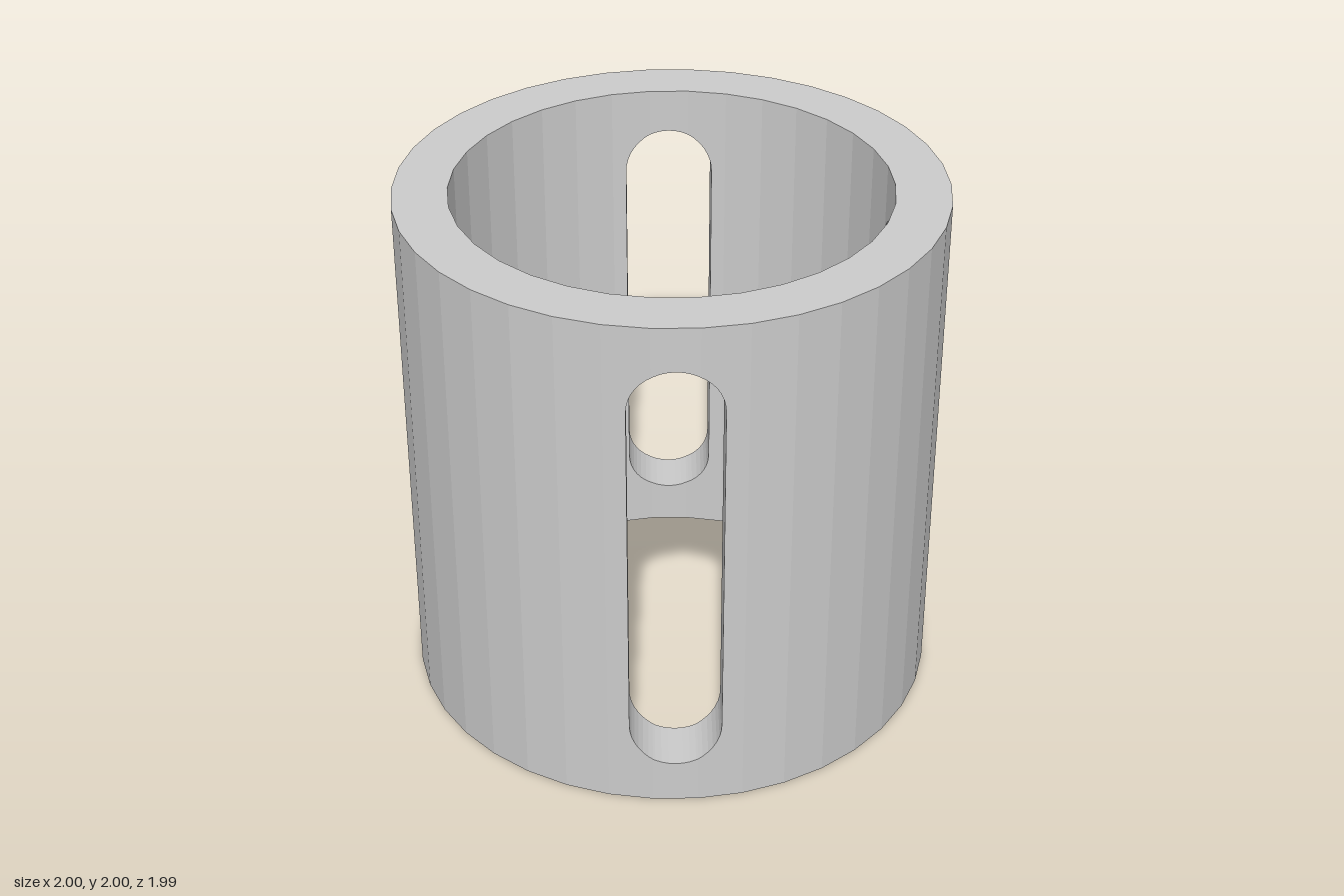
import * as THREE from 'three';

const HEIGHT = 2;
const SLOT_R = 1 / 6;      // half the slot width, also its end radius
const SLOT_Y = 1 / 3;      // height of the lower arc centre
const ARC_STEPS = 20;
const OUTER = { r: 1, n: 38 };
const INNER = { r: 0.8, n: 34 };

// Ring corners seen from one side: u runs to the right, d towards the viewer
function corners(ring, side) {
  const pts = [];
  for (let k = 0; k < ring.n; k++) {
    const a = Math.PI / 2 + (k * 2 * Math.PI) / ring.n - (side * Math.PI) / 2;
    pts.push({ u: ring.r * Math.sin(a), d: ring.r * Math.cos(a) });
  }
  return pts.filter((p) => p.d > 0).sort((a, b) => a.u - b.u);
}

// Distance of the faceted ring from the axis plane at offset u
function depth(ring, side, u) {
  const pts = corners(ring, side);
  const i = pts.findIndex((p) => p.u > u);
  const a = pts[i - 1], b = pts[i];
  return a.d + ((b.d - a.d) * (u - a.u)) / (b.u - a.u);
}

// Collects quads (corners counter-clockwise) given in the side's u, y, d
function quadList() {
  const pos = [];
  return {
    add(side, ...q) {
      const c = Math.cos((side * Math.PI) / 2), s = Math.sin((side * Math.PI) / 2);
      for (const i of [0, 1, 2, 0, 2, 3]) {
        const [u, y, d] = q[i];
        pos.push(u * c + d * s, y, d * c - u * s);
      }
    },
    geometry() {
      const g = new THREE.BufferGeometry();
      g.setAttribute('position', new THREE.Float32BufferAttribute(pos, 3));
      g.computeVertexNormals();
      return g;
    },
  };
}

// Offsets across a slot, including the ring corners that fall inside it
function slotOffsets(side) {
  const us = [];
  for (let i = 0; i <= ARC_STEPS; i++) us.push(-SLOT_R * Math.cos((i * Math.PI) / ARC_STEPS));
  for (const ring of [OUTER, INNER])
    for (const p of corners(ring, side))
      if (Math.abs(p.u) < SLOT_R && us.every((u) => Math.abs(u - p.u) > 1e-4)) us.push(p.u);
  return us.sort((a, b) => a - b);
}

const slotBottom = (u) => SLOT_Y - Math.sqrt(Math.max(0, SLOT_R * SLOT_R - u * u));

// Cylindrical wall pierced by four slots
function wall(ring, inward) {
  const quads = quadList();
  const strip = (side, a, b, a0, b0, a1, b1) => {
    const q = [[a.u, a0, a.d], [b.u, b0, b.d], [b.u, b1, b.d], [a.u, a1, a.d]];
    quads.add(side, ...(inward ? q.reverse() : q));
  };
  for (let side = 0; side < 4; side++) {
    const across = slotOffsets(side).map((u) => ({ u, d: depth(ring, side, u) }));
    for (let i = 1; i < across.length; i++) {
      const a = across[i - 1], b = across[i];
      const ya = slotBottom(a.u), yb = slotBottom(b.u);
      strip(side, a, b, 0, 0, ya, yb);
      strip(side, a, b, HEIGHT - ya, HEIGHT - yb, HEIGHT, HEIGHT);
    }
    // Solid part up to the next slot
    const between = [
      across[across.length - 1],
      ...corners(ring, side).filter((p) => p.u > SLOT_R && p.d > SLOT_R),
      { u: depth(ring, side + 1, -SLOT_R), d: SLOT_R },
    ];
    for (let i = 1; i < between.length; i++)
      strip(side, between[i - 1], between[i], 0, 0, HEIGHT, HEIGHT);
  }
  return quads.geometry();
}

// Inside faces of one slot: rounded ends and two straight cheeks
function slotLining(side) {
  const quads = quadList();
  const us = slotOffsets(side);
  const o = (u) => depth(OUTER, side, u), n = (u) => depth(INNER, side, u);
  for (let i = 1; i < us.length; i++) {
    const a = us[i - 1], b = us[i];
    const ya = slotBottom(a), yb = slotBottom(b);
    const ta = HEIGHT - ya, tb = HEIGHT - yb;
    quads.add(side, [a, ya, o(a)], [b, yb, o(b)], [b, yb, n(b)], [a, ya, n(a)]);
    quads.add(side, [a, ta, n(a)], [b, tb, n(b)], [b, tb, o(b)], [a, ta, o(a)]);
  }
  const y0 = SLOT_Y, y1 = HEIGHT - SLOT_Y, r = SLOT_R;
  quads.add(side, [-r, y0, o(-r)], [-r, y0, n(-r)], [-r, y1, n(-r)], [-r, y1, o(-r)]);
  quads.add(side, [r, y0, n(r)], [r, y0, o(r)], [r, y1, o(r)], [r, y1, n(r)]);
  return quads.geometry();
}

// Flat ring closing the top or bottom
function rim() {
  const outline = (ring) =>
    Array.from({ length: ring.n }, (_, k) => {
      const a = (k * 2 * Math.PI) / ring.n;
      return new THREE.Vector2(ring.r * Math.cos(a), ring.r * Math.sin(a));
    });
  const shape = new THREE.Shape(outline(OUTER));
  shape.holes.push(new THREE.Path(outline(INNER)));
  return new THREE.ShapeGeometry(shape);
}

export function createModel() {
  const group = new THREE.Group();
  group.name = 'slottedSleeve';
  const material = new THREE.MeshStandardMaterial({ color: 0xcccccc, flatShading: true });
  const add = (name, geometry) => {
    const mesh = new THREE.Mesh(geometry, material);
    mesh.name = name;
    group.add(mesh);
  };

  add('outerWall', wall(OUTER, false));
  add('innerWall', wall(INNER, true));
  ['front', 'left', 'back', 'right'].forEach((name, side) => add(name + 'Slot', slotLining(side)));
  add('topRim', rim().rotateX(-Math.PI / 2).translate(0, HEIGHT, 0));
  add('bottomRim', rim().rotateX(Math.PI / 2));
  return group;
}
